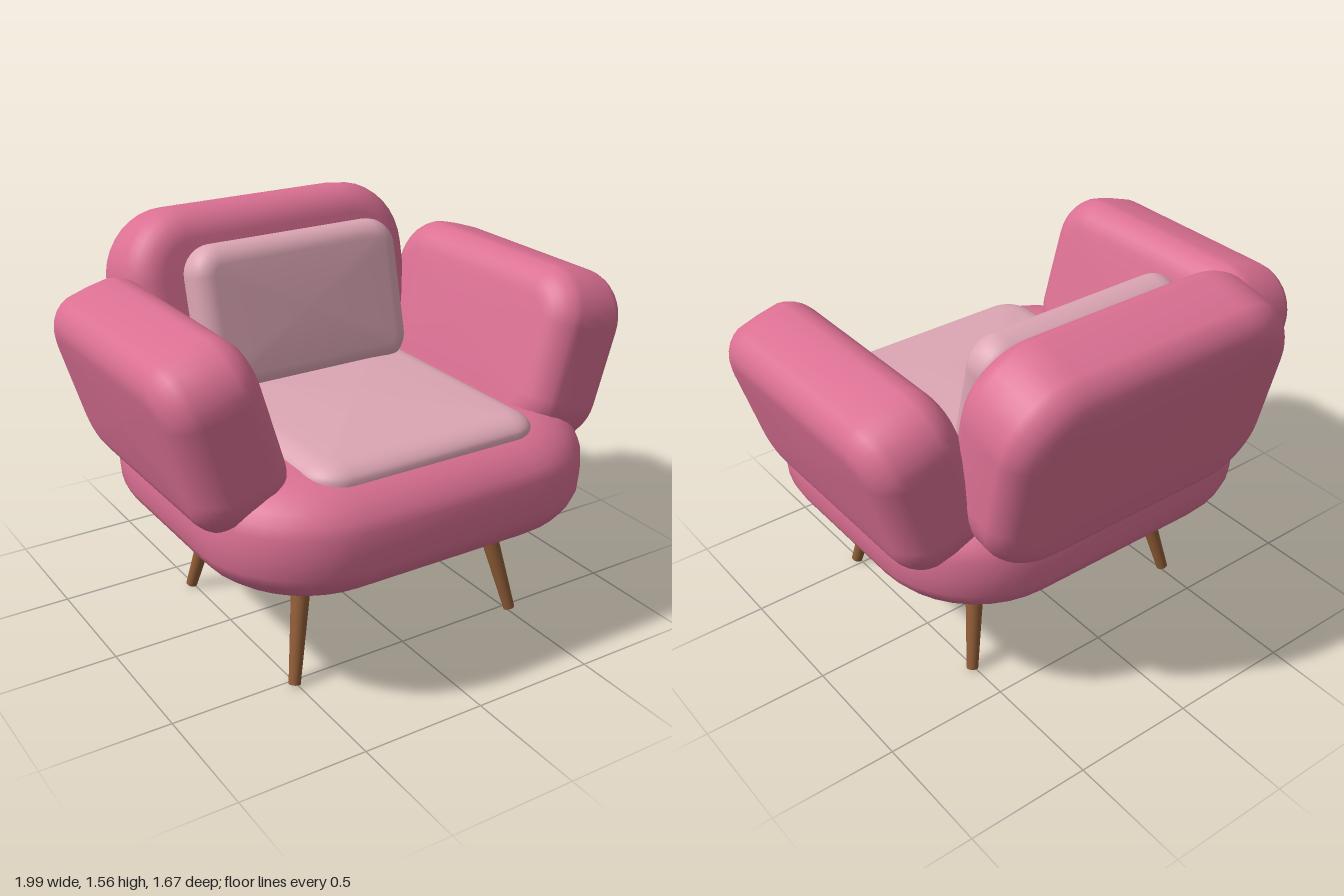
import * as THREE from 'three';

// Upholstered slab in the xy plane: rounded outline, soft rim and gently domed faces.
// corner = outline radius, rim / rimDepth = edge rounding in plane and in depth
function cushionGeometry(w, h, d, corner, rim, rimDepth, dome = 0) {
  const outline = [];
  const arc = 9;
  for (let q = 0; q < 4; q++) {
    const sx = q === 0 || q === 3 ? 1 : -1;
    const sy = q < 2 ? 1 : -1;
    for (let i = 0; i <= arc; i++) {
      const a = (q + i / arc) * Math.PI / 2;
      outline.push({ cx: sx * (w / 2 - corner), cy: sy * (h / 2 - corner), dx: Math.cos(a), dy: Math.sin(a) });
    }
  }
  // Rings run from the back centre, around the rim, to the front centre
  const rings = [];
  const shrink = [0, 0.35, 0.7];
  shrink.forEach(s => rings.push({ inset: rim, scale: s, z: -d / 2 - dome * (1 - s * s) }));
  const steps = 14;
  for (let i = 0; i <= steps; i++) {
    const a = (i / steps - 0.5) * Math.PI;
    rings.push({
      inset: rim * (1 - Math.cos(a)), scale: 1,
      z: Math.sign(i - steps / 2) * (d / 2 - rimDepth) + rimDepth * Math.sin(a),
    });
  }
  [...shrink].reverse().forEach(s => rings.push({ inset: rim, scale: s, z: d / 2 + dome * (1 - s * s) }));

  const pos = [], index = [], n = outline.length;
  rings.forEach((r, k) => outline.forEach((p, i) => {
    pos.push((p.cx + (corner - r.inset) * p.dx) * r.scale, (p.cy + (corner - r.inset) * p.dy) * r.scale, r.z);
    if (k === rings.length - 1) return;
    const a = k * n + i, b = k * n + (i + 1) % n;
    index.push(a, b, b + n, a, b + n, a + n);
  }));
  const g = new THREE.BufferGeometry();
  g.setAttribute('position', new THREE.Float32BufferAttribute(pos, 3));
  g.setIndex(index);
  g.computeVertexNormals();
  return g;
}

export function createModel() {
  const pink = new THREE.MeshStandardMaterial({ name: 'rose fabric', color: 0xdb7093 });
  const pale = new THREE.MeshStandardMaterial({ name: 'pale rose fabric', color: 0xdca6b4 });
  const wood = new THREE.MeshStandardMaterial({ name: 'wood', color: 0x8e5c36 });

  const chair = new THREE.Group();
  chair.name = 'armchair';
  const add = (name, geometry, material, x, y, z) => {
    const m = new THREE.Mesh(geometry, material);
    m.name = name;
    m.position.set(x, y, z);
    chair.add(m);
    return m;
  };
  const flat = g => g.rotateX(-Math.PI / 2);

  // Seat base and the loose cushion on it
  add('seatBase', flat(cushionGeometry(1.63, 1.47, 0.45, 0.45, 0.25, 0.19, 0.005)), pink, 0, 0.66, 0.095);
  add('seatCushion', flat(cushionGeometry(0.98, 1.1, 0.14, 0.13, 0.1, 0.06, 0.012)), pale, 0, 0.855, 0.15);

  // Reclined backrest and pillow
  add('backrest', cushionGeometry(1.3, 0.87, 0.39, 0.28, 0.13, 0.13, 0.005), pink, 0, 1.12, -0.57).rotation.x = -0.24;
  add('backPillow', cushionGeometry(0.94, 0.6, 0.18, 0.12, 0.08, 0.08, 0.008), pale, 0, 1.17, -0.28).rotation.x = -0.24;

  // Armrests leaning outwards
  for (const side of [1, -1]) {
    const g = cushionGeometry(1.14, 0.7, 0.37, 0.2, 0.13, 0.13, 0.005).rotateY(Math.PI / 2);
    add(side > 0 ? 'leftArm' : 'rightArm', g, pink, side * 0.75, 1.035, 0.04).rotation.z = -side * 0.29;
  }

  // Wooden underside panel
  add('basePanel', flat(cushionGeometry(1.18, 0.98, 0.04, 0.15, 0.005, 0.005)), wood, 0, 0.44, 0.1);

  // Splayed tapered legs
  const up = new THREE.Vector3(0, 1, 0);
  for (const sx of [1, -1]) for (const sz of [1, -1]) {
    const foot = new THREE.Vector3(sx * 0.51, 0.005, 0.1 + sz * 0.43);
    const top = new THREE.Vector3(sx * 0.415, 0.45, 0.1 + sz * 0.335);
    const axis = top.clone().sub(foot);
    const mid = foot.clone().add(top).multiplyScalar(0.5);
    const name = (sz > 0 ? 'front' : 'back') + (sx > 0 ? 'Left' : 'Right') + 'Leg';
    const leg = add(name, new THREE.CylinderGeometry(0.04, 0.023, axis.length(), 20), wood, mid.x, mid.y, mid.z);
    leg.quaternion.setFromUnitVectors(up, axis.normalize());
  }
  return chair;
}
